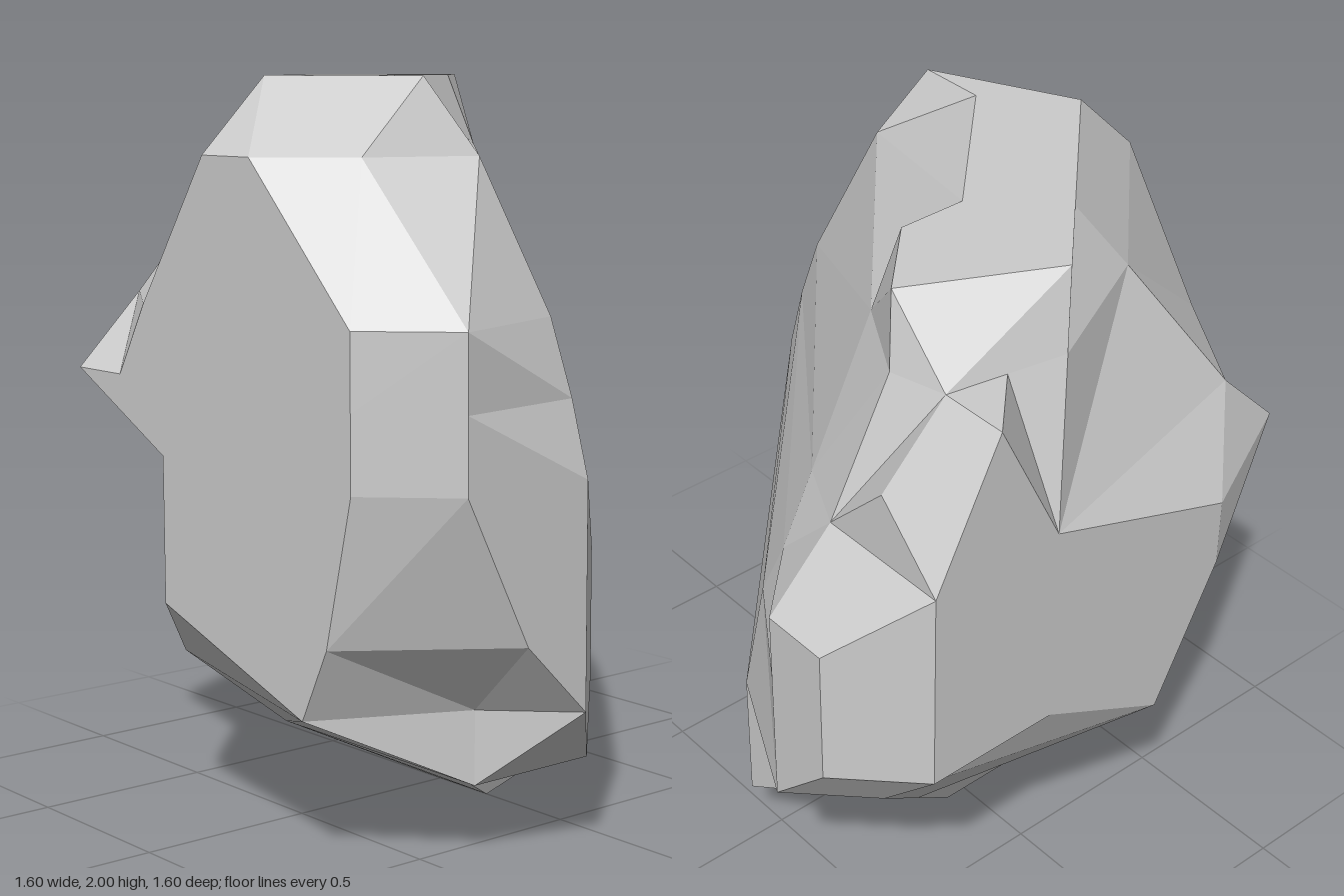
import * as THREE from 'three';
import { ConvexGeometry } from 'three/addons/geometries/ConvexGeometry.js';

const UNIT = 0.2; // every corner sits on a coarse grid

// Horizontal outlines of the main boulder, bottom to top: level, then x, z pairs.
// Each starts at the back left and runs along the back, right, front and left.
const OUTLINES = [
  // underside
  [1, [-2, -1, 0, -3, 3, 0, 3, 2, -1, 2, -2, 1]],
  [2, [-2.5, -2, -1.5, -3, 0, -3, 4, 1, 3, 2, 2, 4, -2, 3, -3, 2]],
  // body, hollow at the front left
  [3, [-3, -3, -2, -4, 0, -3, 4, 1, 4, 2, 2.5, 4, -1, 4, -3, 2, -4, 1]],
  [5, [-4, -3, -3, -4, -2, -4, -0.5, -3, 4, 1, 4, 3, 3, 4, -1, 4, -4, 2]],
  // overhanging spur
  [6, [-4, -3, -3, -4, -2, -4, -1, -3, 3.7, 1, 4, 3, 3, 4, -2, 4, -3, 4, -4, 2]],
  // shoulder and crown
  [7, [-4, -3, -2, -3, -1, -2.5, 3.3, 1, 4, 3, 3, 4, -1.4, 4, -3, 3, -4, -1]],
  [9, [-3, -2, -2.2, -2.2, -1, -1.5, 2.5, 1.5, 2, 3, 1, 4, 0, 4, -2.3, 1.7, -3.3, -0.3]],
  [10, [-2, -2, -1, -1, -1, 0, 1, 2, 2, 2, 0, 3, -1, 2, -2, 1, -3, 0]],
];

// Small convex lumps that stand out from the boulder
const LUMPS = {
  foot: [
    [0, 0, -1], [1, 0, 0], [0, 0, 0], [-2, 1, -1], [1, 1, -2],
    [2, 1, -1], [1, 1, 1.5], [-1, 1, 2], [-2, 1, 1],
  ],
  backCorner: [
    [-4, 4, -3], [-3, 4, -4], [-4, 6, -3], [-3, 6, -4], [-2, 6, -4],
    [-2, 3, -4], [-3, 3, -3], [-4, 4, 1], [-1, 4, -1],
  ],
  horn: [
    [-4, 9, -2], [-3, 9, -2], [-3, 9, -1], [-3, 8, -3],
    [-4, 7, -3], [-4, 7, -1], [-2, 7, -3], [-2, 7, 0],
  ],
};

function ring([level, outline]) {
  const points = [];
  for (let i = 0; i < outline.length; i += 2) {
    points.push(new THREE.Vector3(outline[i], level, outline[i + 1]).multiplyScalar(UNIT));
  }
  return points;
}

// Joins two closed outlines with the band of triangles whose cross edges are shortest
function band(low, high, out) {
  const a = [...low, low[0]];
  const b = [...high, high[0]];
  const cost = a.map(() => []);
  const fromLow = a.map(() => []);
  for (let i = 0; i < a.length; i++) {
    for (let j = 0; j < b.length; j++) {
      const viaLow = i > 0 ? cost[i - 1][j] : Infinity;
      const viaHigh = j > 0 ? cost[i][j - 1] : Infinity;
      fromLow[i][j] = viaLow < viaHigh;
      cost[i][j] = a[i].distanceTo(b[j]) + (i + j > 0 ? Math.min(viaLow, viaHigh) : 0);
    }
  }
  let i = a.length - 1;
  let j = b.length - 1;
  while (i + j > 0) {
    if (fromLow[i][j]) {
      out.push(a[i - 1], b[j], a[i]);
      i--;
    } else {
      out.push(a[i], b[j - 1], b[j]);
      j--;
    }
  }
}

// Closes an outline with a flat face pointing up or down
function cap(points, up, out) {
  const flat = points.map((p) => new THREE.Vector2(p.x, p.z));
  for (const [i, j, k] of THREE.ShapeUtils.triangulateShape(flat, [])) {
    const facesUp = THREE.ShapeUtils.area([flat[i], flat[j], flat[k]]) < 0;
    if (facesUp === up) out.push(points[i], points[j], points[k]);
    else out.push(points[i], points[k], points[j]);
  }
}

export function createModel() {
  const group = new THREE.Group();
  group.name = 'rock';
  const stone = new THREE.MeshStandardMaterial({ color: 0xcccccc, flatShading: true });

  function add(name, geometry) {
    const mesh = new THREE.Mesh(geometry, stone);
    mesh.name = name;
    group.add(mesh);
  }

  // Main boulder
  const rings = OUTLINES.map(ring);
  const corners = [];
  for (let k = 0; k + 1 < rings.length; k++) band(rings[k], rings[k + 1], corners);
  cap(rings[0], false, corners);
  cap(rings[rings.length - 1], true, corners);
  const boulder = new THREE.BufferGeometry().setFromPoints(corners);
  boulder.computeVertexNormals();
  add('boulder', boulder);

  // Lumps
  for (const [name, points] of Object.entries(LUMPS)) {
    const hull = points.map((p) => new THREE.Vector3(...p).multiplyScalar(UNIT));
    add(name, new ConvexGeometry(hull));
  }
  return group;
}
